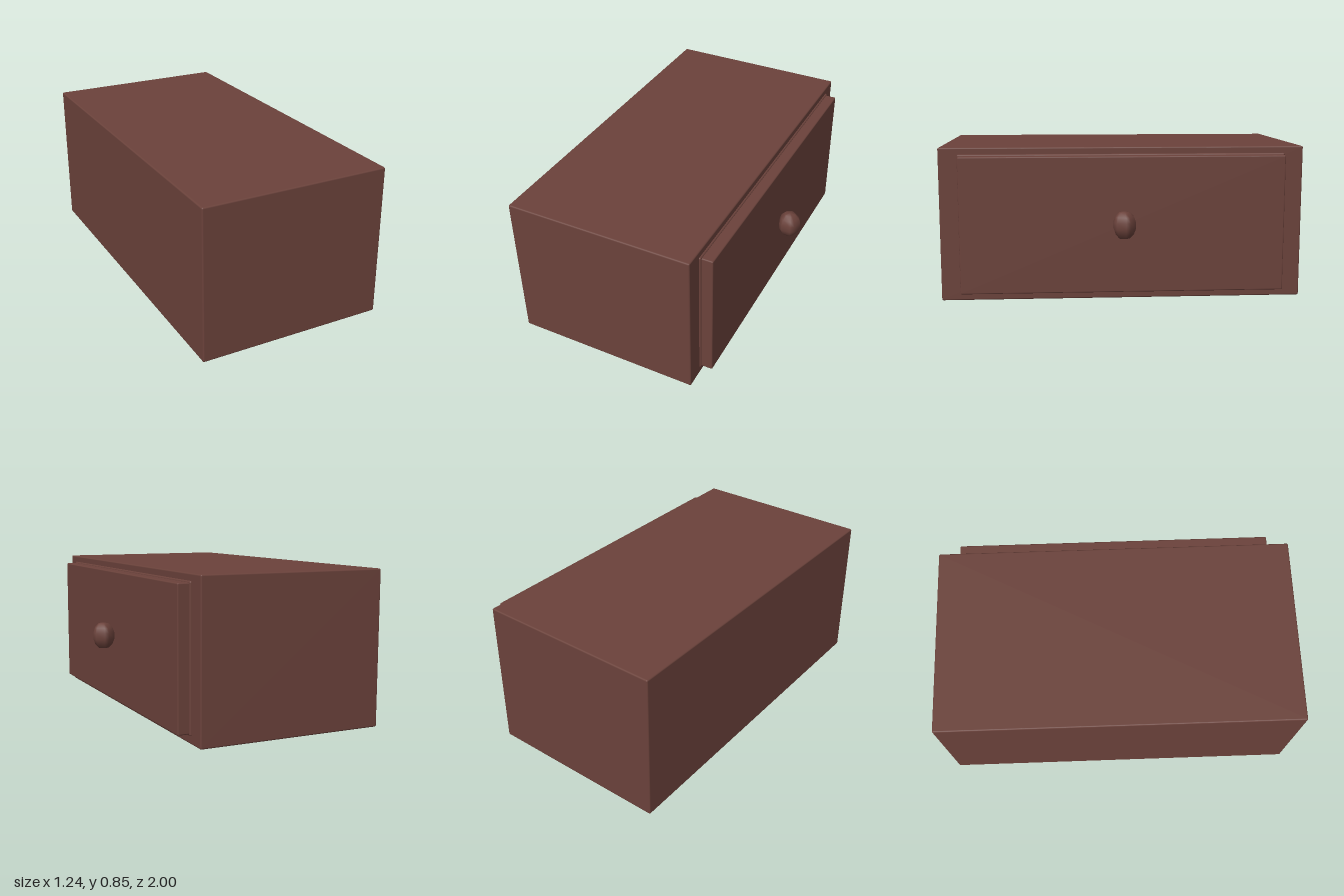
import * as THREE from 'three';
import { mergeVertices } from 'three/addons/utils/BufferGeometryUtils.js';
import { RoundedBoxGeometry } from 'three/addons/geometries/RoundedBoxGeometry.js';

export function createModel() {
  const group = new THREE.Group();
  const wood = new THREE.MeshStandardMaterial({ color: 0x6b423b });
  wood.name = 'reddishBrownWood';

  const add = (name, geometry) => {
    const mesh = new THREE.Mesh(geometry, wood);
    mesh.name = name;
    group.add(mesh);
    return mesh;
  };

  // Softly bevelled block given by its x, y and half z extents
  const block = (name, x0, x1, y0, y1, hz, radius) => {
    const geometry = new RoundedBoxGeometry(x1 - x0, y1 - y0, hz * 2, 2, radius);
    geometry.translate((x0 + x1) / 2, (y0 + y1) / 2, 0);
    return add(name, geometry);
  };

  block('cabinetBody', -0.62, 0.425, 0, 0.845, 1, 0.008);
  block('drawerFrontBase', 0.39, 0.434, 0.042, 0.808, 0.898, 0.009);
  block('drawerFront', 0.39, 0.495, 0.05, 0.8, 0.888, 0.007);

  // Knob: rounded profile turned into a pentagon with blunted corners
  const profile = [
    [0, -0.075], [0.03, -0.07], [0.052, -0.047], [0.063, -0.018],
    [0.063, 0.018], [0.052, 0.047], [0.03, 0.07], [0, 0.075],
  ].map(([r, y]) => new THREE.Vector2(r, y));
  let knob = new THREE.LatheGeometry(profile, 10);
  const p = knob.attributes.position;
  for (let i = 0; i < p.count; i++) {
    const column = Math.floor(i / profile.length) % 10;
    const corner = Math.floor(column / 2) * Math.PI * 0.4 + Math.PI;
    const angle = corner + (column % 2 ? 0.2 : -0.2);
    const r = profile[i % profile.length].x;
    p.setX(i, Math.sin(angle) * r);
    p.setZ(i, Math.cos(angle) * r);
  }
  knob.deleteAttribute('uv');
  knob.deleteAttribute('normal');
  knob = mergeVertices(knob, 1e-5);
  knob.computeVertexNormals();
  add('drawerKnob', knob).position.set(0.558, 0.435, 0);

  return group;
}
